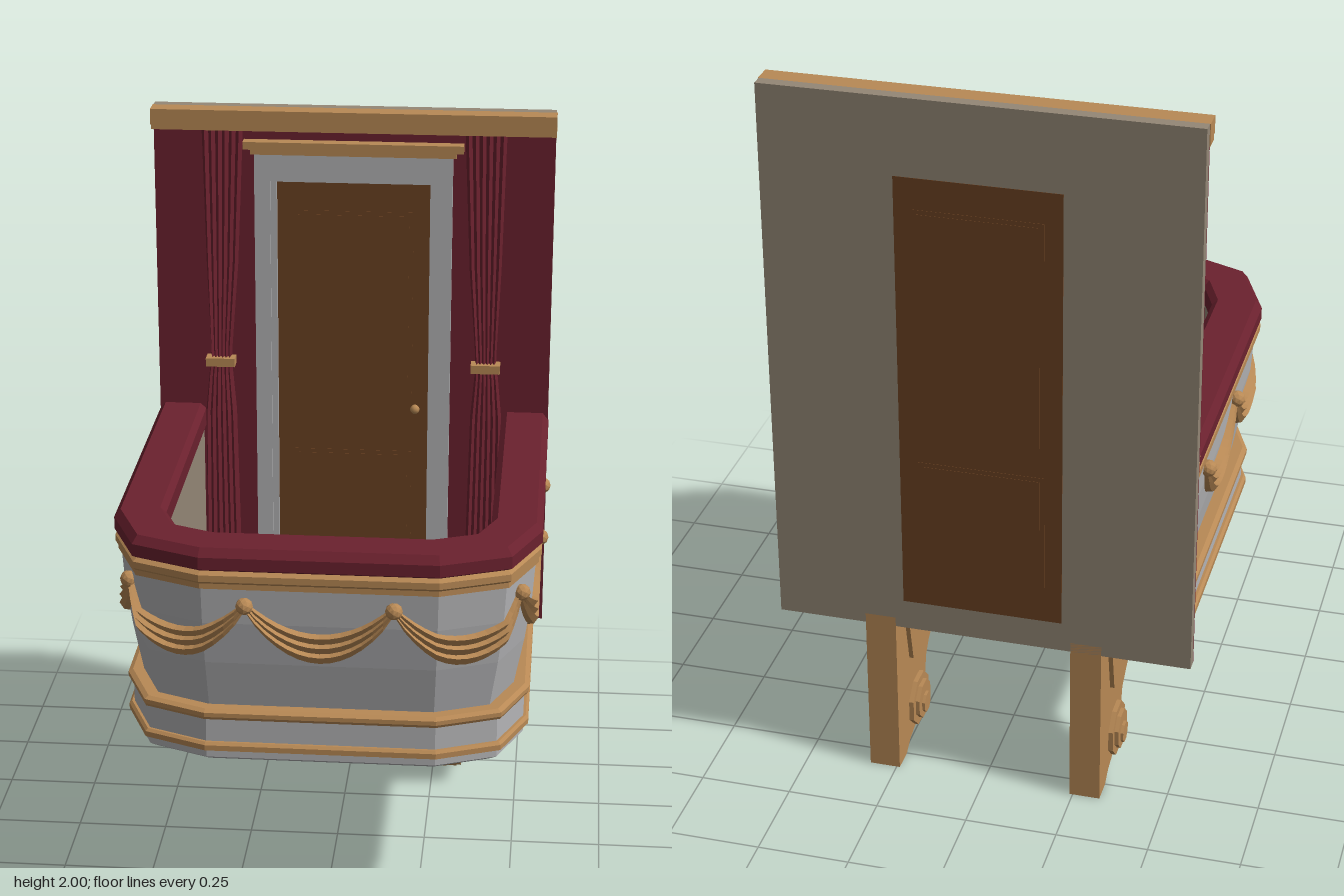
import * as THREE from 'three';

const mat = (name, color) => Object.assign(new THREE.MeshStandardMaterial({ color }), { name });

export function createModel() {
  const red = mat('crimson velvet', 0x6b212e);
  const gold = mat('gilded wood', 0xb88955);
  const grey = mat('pale grey plaster', 0xb4b4b6);
  const taupe = mat('taupe plaster', 0x948776);
  const brown = mat('door brown', 0x6b4222);
  const root = new THREE.Group();
  root.name = 'theatreBox';
  const BACK = -0.535;

  const add = (name, geo, material, parent = root) => {
    const m = new THREE.Mesh(geo, material);
    m.name = name;
    parent.add(m);
    return m;
  };
  const flat = (g) => {
    const f = g.index ? g.toNonIndexed() : g;
    f.computeVertexNormals();
    return f;
  };
  // box given by its limits
  const box = (name, x0, x1, y0, y1, z0, z1, material, parent) => {
    const g = new THREE.BoxGeometry(x1 - x0, y1 - y0, z1 - z0);
    g.translate((x0 + x1) / 2, (y0 + y1) / 2, (z0 + z1) / 2);
    return add(name, g, material, parent);
  };
  // faceted surface from a rule f(i, j); i runs right and j runs up as seen from outside
  const grid = (nu, nv, f) => {
    const pos = [];
    for (let i = 0; i < nu; i++) for (let j = 0; j < nv; j++) {
      const a = f(i, j), b = f(i + 1, j), c = f(i + 1, j + 1), d = f(i, j + 1);
      pos.push(...a, ...b, ...c, ...a, ...c, ...d);
    }
    const g = new THREE.BufferGeometry();
    g.setAttribute('position', new THREE.Float32BufferAttribute(pos, 3));
    g.computeVertexNormals();
    return g;
  };

  // plan of the balcony: straight sides, corners cut in two facets, e = half extent
  const ring = (e) => {
    const c = 0.31 - 0.2 * (0.565 - e), k = c + (e - c) * Math.SQRT1_2;
    const half = [[c, e], [k, k], [e, c], [e, BACK]];
    return [...half.map(([x, z]) => [-x, z]).reverse(), ...half];
  };
  const sweep = (name, profile, material) => {
    const rings = profile.map(([e]) => ring(e));
    return add(name, grid(7, profile.length - 1, (i, j) =>
      [rings[j][i][0], profile[j][1], rings[j][i][1]]), material);
  };
  const slab = (name, e, y, up, material) => {
    const g = new THREE.ShapeGeometry(new THREE.Shape(ring(e).map(([x, z]) => new THREE.Vector2(x, up ? -z : z))));
    g.rotateX(up ? -Math.PI / 2 : Math.PI / 2).translate(0, y, 0);
    return add(name, g, material);
  };

  // back wall with velvet front and cornice
  box('backWall', -0.565, 0.565, 0.465, 2, -0.567, BACK, taupe);
  box('velvetWallPanel', -0.565, 0.565, 0.465, 1.945, BACK, -0.529, red);
  box('cornice', -0.567, 0.567, 1.955, 2, BACK, -0.48, gold);
  box('corniceLowerStep', -0.567, 0.567, 1.94, 1.955, BACK, -0.49, gold);

  // balcony shell, from the bottom up
  const wallProfile = [[0.5, 0.645], [0.526, 0.78], [0.543, 0.9], [0.55, 1.0]];
  slab('underside', 0.505, 0.49, false, grey);
  sweep('basePlinth', [[0.505, 0.49], [0.528, 0.505], [0.528, 0.63]], grey);
  sweep('lowerMoulding', [[0.527, 0.525], [0.542, 0.53], [0.542, 0.545], [0.535, 0.552], [0.527, 0.552]], gold);
  sweep('upperMoulding', [[0.527, 0.615], [0.538, 0.62], [0.542, 0.628], [0.542, 0.64], [0.53, 0.647], [0.495, 0.647]], gold);
  sweep('parapetWall', wallProfile, grey);
  sweep('railMoulding', [[0.545, 1.0], [0.558, 1.003], [0.558, 1.018], [0.565, 1.025], [0.565, 1.043], [0.552, 1.053]], gold);
  sweep('railCushion', [[0.435, 1.05], [0.55, 1.05], [0.567, 1.06], [0.567, 1.093], [0.55, 1.115],
    [0.447, 1.115], [0.431, 1.1], [0.431, 1.05]], red);
  sweep('innerParapet', [[0.437, 1.06], [0.437, 0.55]], taupe);
  slab('floor', 0.45, 0.55, true, taupe);

  // point along the parapet: s = distance from the centre of the front
  const ref = ring(0.55), at = [0];
  for (let i = 0; i < 7; i++) at.push(at[i] + Math.hypot(ref[i + 1][0] - ref[i][0], ref[i + 1][1] - ref[i][1]));
  const along = (s, e, y) => {
    const d = s + at[7] / 2;
    let i = 0;
    while (i < 6 && d > at[i + 1]) i++;
    const f = (d - at[i]) / (at[i + 1] - at[i]), r = ring(e);
    return [0, 1].map((k) => r[i][k] + (r[i + 1][k] - r[i][k]) * f).toSpliced(1, 0, y);
  };
  const wallE = (y) => {
    let k = 0;
    while (k < 2 && y > wallProfile[k + 1][1]) k++;
    const [[e0, y0], [e1, y1]] = [wallProfile[k], wallProfile[k + 1]];
    return e0 + (e1 - e0) * (y - y0) / (y1 - y0);
  };

  // draped swags with three folds, hung between knobs
  const STEP = 0.385, FOLDS = [[0, 0], [0.04, 0.02], [0.3, 0.03], [0.36, 0.014], [0.62, 0.026], [0.68, 0.01], [0.93, 0.02], [1, 0]];
  const swags = new THREE.Group();
  swags.name = 'swags';
  root.add(swags);
  for (let n = -3; n <= 3; n++) {
    add('swag', grid(14, FOLDS.length - 1, (i, j) => {
      const u = i / 14, w = 4 * u * (1 - u), [v, out] = FOLDS[j];
      const top = 0.967 - 0.09 * w, bottom = 0.942 - 0.148 * Math.pow(w, 0.9);
      const y = bottom + (top - bottom) * v;
      return along((n - 0.5 + u) * STEP, wallE(y) + out * (0.45 + 0.55 * w), y);
    }), gold, swags);
  }
  for (let n = -3.5; n <= 3.5; n++) {
    const knob = add('swagKnob', flat(new THREE.IcosahedronGeometry(0.023, 1)), gold, swags);
    knob.position.set(...along(n * STEP, 0.557, 0.957));
  }

  // door surround, lintel and the door seen on both faces of the wall
  const arch = (name, xo, yo, xi, yi, z1) => {
    const s = new THREE.Shape([[-xo, 0.55], [-xi, 0.55], [-xi, yi], [xi, yi], [xi, 0.55], [xo, 0.55], [xo, yo], [-xo, yo]]
      .map((p) => new THREE.Vector2(...p)));
    const g = new THREE.ExtrudeGeometry(s, { depth: z1 - BACK, bevelEnabled: false });
    return add(name, g.translate(0, 0, BACK), grey);
  };
  arch('doorFrameOuter', 0.28, 1.875, 0.235, 1.81, -0.508);
  arch('doorFrameInner', 0.236, 1.811, 0.217, 1.79, -0.515);
  box('lintelLower', -0.29, 0.29, 1.87, 1.888, BACK, -0.502, gold);
  box('lintelUpper', -0.31, 0.31, 1.886, 1.908, BACK, -0.493, gold);
  for (const [side, z, dir] of [['front', -0.53, 1], ['back', -0.566, -1]]) {
    const door = new THREE.Group();
    door.name = side + 'Door';
    root.add(door);
    const plate = (name, w, y0, y1, d0, d1) => box(name, -w, w, y0, y1,
      Math.min(z + dir * d0, z + dir * d1), Math.max(z + dir * d0, z + dir * d1), brown, door);
    plate('doorLeaf', 0.217, 0.55, 1.79, -0.003, 0.002);
    for (const [y0, y1] of [[1.06, 1.705], [0.61, 0.985]]) {
      plate('doorPanelBorder', 0.17, y0, y1, 0, 0.003);
      plate('doorPanel', 0.158, y0 + 0.012, y1 - 0.012, 0, 0.004);
    }
  }
  const handle = add('doorKnob', new THREE.SphereGeometry(0.014, 8, 6), gold);
  handle.position.set(0.18, 1.12, -0.515);

  // gathered curtains: rows of [y, inner x, outer x, front z]
  const ROWS = [[0.55, 0.33, 0.435, -0.485], [1.1, 0.34, 0.43, -0.491], [1.22, 0.35, 0.418, -0.495], [1.255, 0.352, 0.412, -0.497],
    [1.3, 0.35, 0.413, -0.497], [1.55, 0.33, 0.422, -0.503], [1.945, 0.312, 0.43, -0.51]];
  for (const side of [1, -1]) {
    const curtain = new THREE.Group();
    curtain.name = side > 0 ? 'leftCurtain' : 'rightCurtain';
    root.add(curtain);
    add('drape', grid(12, ROWS.length - 1, (i, j) => {
      const [y, xi, xo, z] = ROWS[j], u = side > 0 ? i / 12 : 1 - i / 12;
      const edge = i === 0 || i === 12;
      return [side * (xi + (xo - xi) * u), y, edge ? -0.53 : i % 2 ? z : z - 0.016];
    }), red, curtain);
    const x = side * 0.382;
    box('tieBand', x - 0.042, x + 0.042, 1.243, 1.268, -0.53, -0.487, gold, curtain);
  }

  // carved support brackets: side outlines in [z, y]
  const OUTLINE = [[-0.567, 0.492], [-0.567, 0], [-0.5, 0], [-0.465, 0.025], [-0.43, 0.035], [-0.37, 0.045], [-0.335, 0.08],
    [-0.315, 0.14], [-0.3, 0.2], [-0.24, 0.275], [-0.16, 0.335], [-0.07, 0.37], [0.02, 0.393], [0.12, 0.41], [0.22, 0.412],
    [0.265, 0.395], [0.325, 0.402], [0.348, 0.43], [0.355, 0.492]];
  const INSET = [[0.21, 0.455], [-0.487, 0.435], [-0.455, 0.29], [-0.355, 0.23], [-0.27, 0.29], [-0.21, 0.34], [-0.12, 0.383], [0, 0.42]];
  const sideCut = (pts, half) => {
    const g = new THREE.ExtrudeGeometry(new THREE.Shape(pts.map((p) => new THREE.Vector2(...p))), { depth: half * 2, bevelEnabled: false });
    return g.translate(0, 0, -half).rotateY(-Math.PI / 2);
  };
  for (const side of [1, -1]) {
    const bracket = new THREE.Group();
    bracket.name = side > 0 ? 'leftBracket' : 'rightBracket';
    bracket.position.x = side * 0.283;
    root.add(bracket);
    add('bracketBody', sideCut(OUTLINE, 0.042), gold, bracket);
    add('bracketPanels', sideCut(INSET, 0.054), gold, bracket);
    for (const [name, r, half, z, y] of [['volute', 0.077, 0.055, -0.397, 0.12], ['voluteRing', 0.056, 0.066, -0.397, 0.12],
      ['voluteButton', 0.03, 0.074, -0.397, 0.11], ['tipScroll', 0.028, 0.056, 0.303, 0.433], ['tipButton', 0.014, 0.064, 0.303, 0.433]]) {
      const g = flat(new THREE.CylinderGeometry(r, r, half * 2, 8).rotateY(Math.PI / 8).rotateZ(Math.PI / 2));
      add(name, g, gold, bracket).position.set(0, y, z);
    }
  }
  return root;
}
